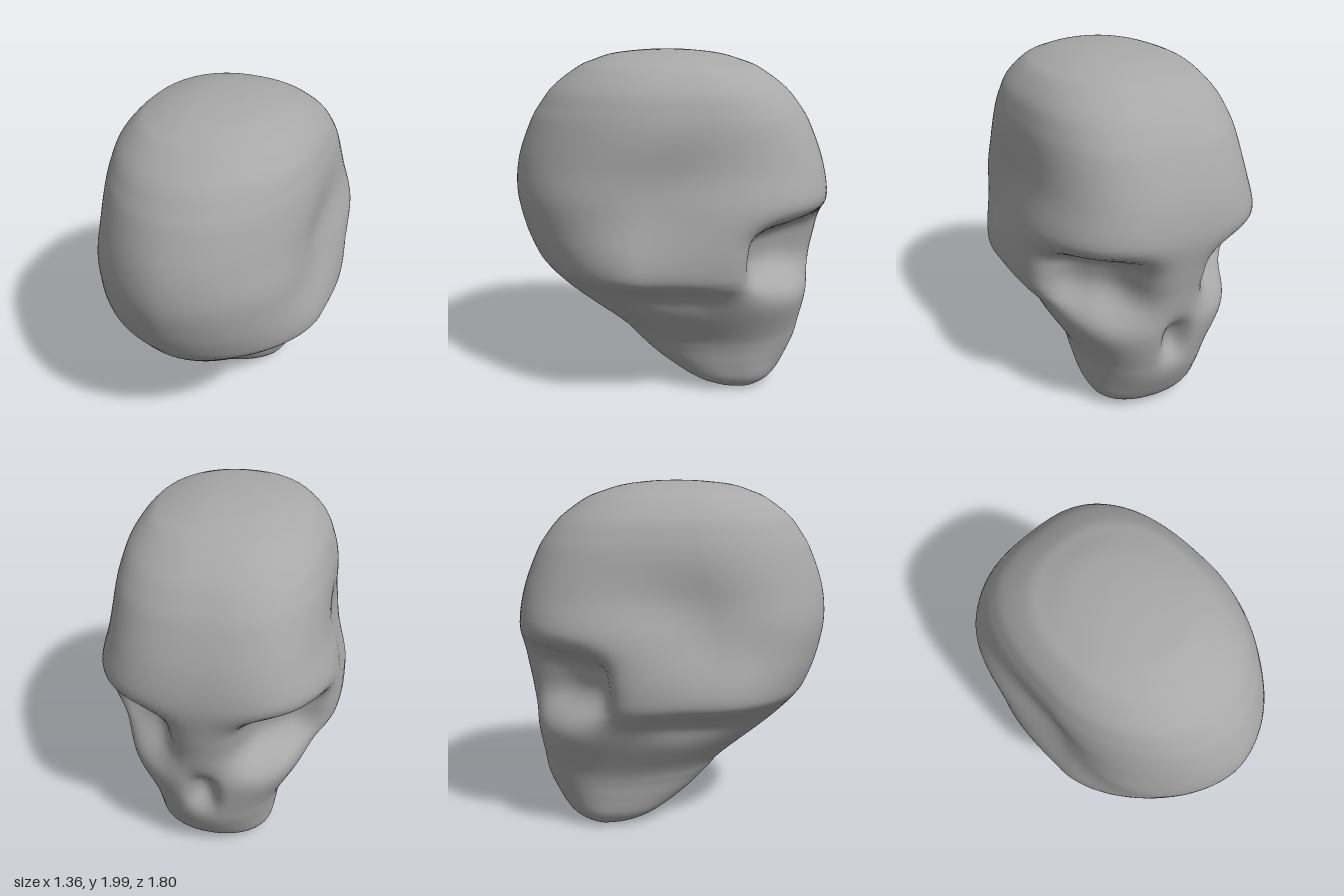
import * as THREE from 'three';

// Horizontal sections, top to bottom: y, front z, back z, half width, centre z, front squareness
const SECTIONS = [
  [2.0, -0.01, 0.03, 0.01, 0.01, 2],
  [1.995, -0.13, 0.16, 0.13, 0.01, 2],
  [1.975, -0.29, 0.33, 0.25, 0.02, 2.1],
  [1.94, -0.41, 0.44, 0.36, 0.02, 2.2],
  [1.9, -0.51, 0.53, 0.435, 0.02, 2.4],
  [1.8, -0.65, 0.665, 0.52, 0.03, 2.6],
  [1.7, -0.735, 0.745, 0.56, 0.05, 2.8],
  [1.6, -0.795, 0.805, 0.587, 0.07, 2.9],
  [1.4, -0.87, 0.88, 0.625, 0.13, 3.1],
  [1.2, -0.9, 0.9, 0.68, 0.18, 3.2],
  [1.0, -0.875, 0.86, 0.695, 0.2, 3],
  [0.85, -0.85, 0.8, 0.69, 0.17, 2.8],
  [0.78, -0.84, 0.755, 0.665, 0.12, 2.8],
  [0.71, -0.83, 0.7, 0.605, 0, 3],
  [0.6, -0.82, 0.58, 0.53, -0.15, 2.7],
  [0.4, -0.79, 0.31, 0.41, -0.32, 2.3],
  [0.3, -0.77, 0.21, 0.372, -0.37, 2.2],
  [0.2, -0.73, 0.1, 0.355, -0.4, 2.1],
  [0.1, -0.675, -0.04, 0.335, -0.42, 2.1],
  [0.04, -0.62, -0.15, 0.29, -0.42, 2.1],
  [0.005, -0.54, -0.27, 0.22, -0.42, 2.1],
  [0.0, -0.45, -0.41, 0.01, -0.43, 2],
];
const ROWS = 160, COLS = 160;

const curveOf = (a, b, c) => new THREE.CatmullRomCurve3(
  SECTIONS.map((s) => new THREE.Vector3(s[a], s[b], s[c])), false, 'catmullrom', 0.5);

// The back is most pointed at ear height, rounder above and squarer at the jaw
const backSquareness = (y) => 1.75 + (y > 0.95 ? 0.45 : 1.3) * (y - 0.95) ** 2;

// Soft falloff, flatter in the middle and boxier when the power is high
const falloff = (u, v, power = 2) =>
  Math.exp(-Math.pow(Math.abs(u), power) - Math.pow(Math.abs(v), power));

// Presses the sockets, nose, temples and underside into a point of the shell
function sculpt(p) {
  const side = p.x < 0 ? -1 : 1;
  const x = Math.abs(p.x), y = p.y, z = p.z;
  const sideways = Math.min(1, x / 0.4);
  let dx = 0, dy = 0, dz = 0;

  if (z < -0.15) {
    // Eye socket: steep under the brow, sloping towards the cheek
    const u = ((x - 0.47) * 0.8 + (z + 0.73) * 0.6) / 0.27;
    const v = (y - 0.95) / (y > 0.95 ? 0.16 : 0.24);
    const k = 0.25 * falloff(u, v, 3);
    dx -= k * 0.45;
    dz += k * 0.89;
    // Nose opening
    dz += 0.09 * falloff(x / 0.075, (y - 0.54) / 0.12, 2.5);
  }
  // Hollow temple, leaning forward as it rises
  const lean = z - 0.15 + 0.6 * (y - 1.2);
  dx -= 0.085 * falloff(lean / 0.38, (y - 1.2) / 0.28) * sideways;
  // Groove below the cranium ridge
  dx -= 0.05 * falloff((z - 0.05) / 0.26, (y - 0.68) / 0.09) * sideways;
  // Hollow under the jaw
  if (y < 0.35) dy += 0.09 * falloff(x / 0.16, (z + 0.27) / 0.22, 2.5);

  p.set(side * Math.max(0, x + dx), y + dy, z + dz);
}

function skullGeometry() {
  const profile = curveOf(1, 0, 2), shape = curveOf(3, 4, 5);
  const positions = [], indices = [];
  const p = new THREE.Vector3();
  for (let i = 0; i <= ROWS; i++) {
    const a = profile.getPoint(i / ROWS), b = shape.getPoint(i / ROWS);
    const width = Math.max(b.x, 0.005), centre = b.y;
    for (let j = 0; j < COLS; j++) {
      const t = (j / COLS) * Math.PI * 2;
      const s = Math.sin(t), c = Math.cos(t);
      const n = c < 0 ? b.z : backSquareness(a.y);
      const length = Math.max(c < 0 ? centre - a.x : a.z - centre, 0.005);
      const r = Math.pow(Math.pow(Math.abs(s) / width, n) + Math.pow(Math.abs(c) / length, n), -1 / n);
      p.set(r * s, Math.max(0, a.y), centre + r * c);
      sculpt(p);
      positions.push(p.x, p.y, p.z);
      if (i < ROWS) {
        const k = (j + 1) % COLS, top = i * COLS, low = top + COLS;
        indices.push(top + j, low + j, top + k, top + k, low + j, low + k);
      }
    }
  }
  // Close the crown and the base
  const last = ROWS * COLS;
  for (let j = 1; j < COLS - 1; j++) {
    indices.push(0, j, j + 1, last, last + j + 1, last + j);
  }
  const geometry = new THREE.BufferGeometry();
  geometry.setAttribute('position', new THREE.Float32BufferAttribute(positions, 3));
  geometry.setIndex(indices);
  geometry.computeVertexNormals();
  return geometry;
}

export function createModel() {
  const group = new THREE.Group();
  group.name = 'skullModel';
  const bone = new THREE.MeshStandardMaterial({ color: 0xa8a8a8 });
  bone.name = 'grey bone';
  const skull = new THREE.Mesh(skullGeometry(), bone);
  skull.name = 'skull';
  group.add(skull);
  return group;
}
